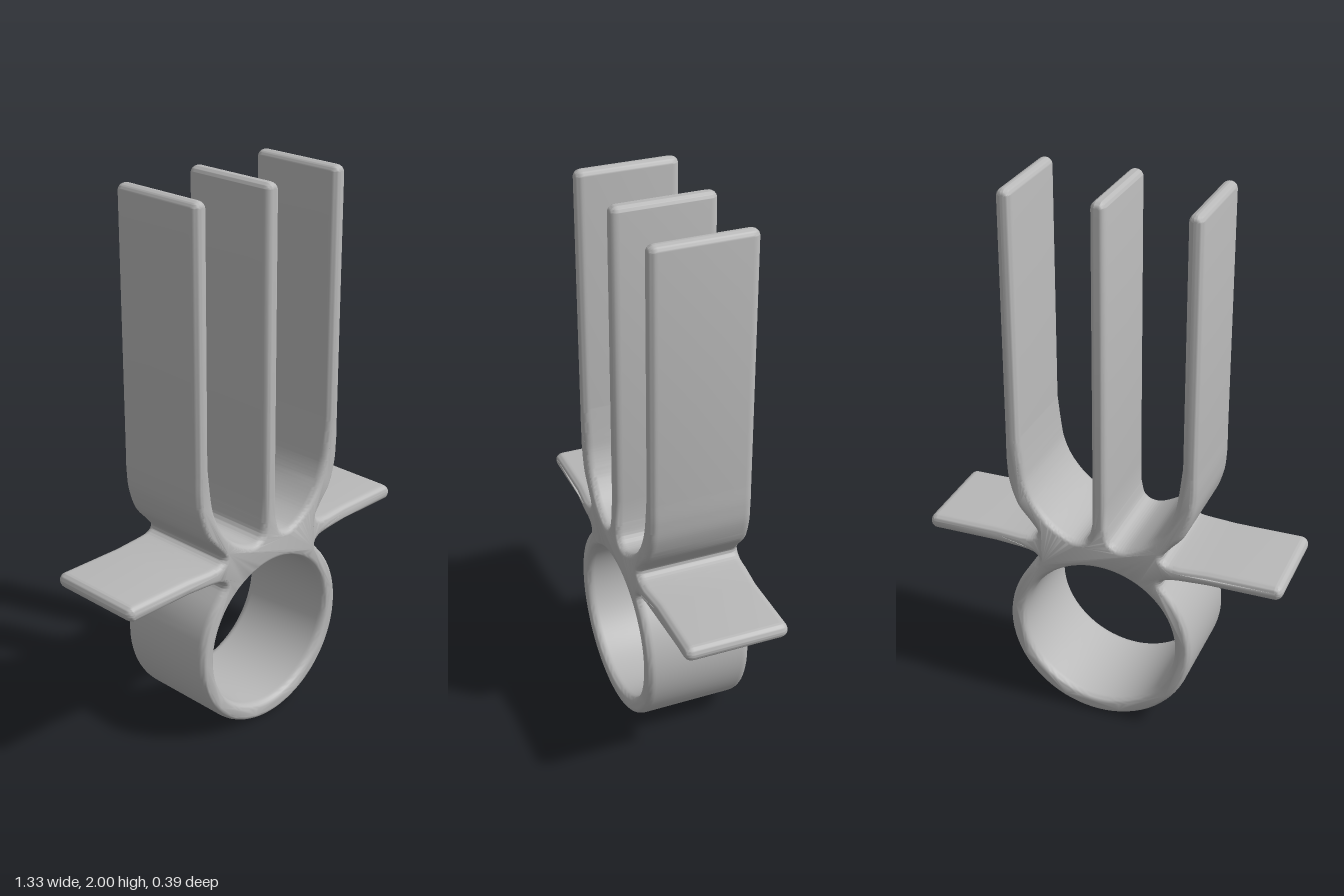
import * as THREE from 'three';
import { toCreasedNormals } from 'three/addons/utils/BufferGeometryUtils.js';

const HALF_DEPTH = 0.195; // half depth at the ring
const BEVEL = 0.02, BEVEL_DEPTH = 0.03;
const points = (list) => list.map(([x, y]) => new THREE.Vector2(x, y));

// Right half of the outline, from the bottom of the ring to the middle prong tip
function halfOutline() {
  const p = new THREE.Path();
  // ring outside
  p.moveTo(0, 0.005);
  p.absarc(0, 0.355, 0.35, -Math.PI / 2, 0.75);
  // fillet into the wing, wing tip and back
  p.splineThru(points([[0.234, 0.625], [0.252, 0.647], [0.3, 0.656]]));
  p.lineTo(0.4, 0.656);
  p.absarc(0.639, 0.684, 0.028, -Math.PI / 2, Math.PI / 2);
  p.lineTo(0.4, 0.712);
  p.lineTo(0.3, 0.712);
  // fillet and outer side of the cup
  p.splineThru(points([[0.255, 0.718], [0.236, 0.738], [0.262, 0.775], [0.312, 0.835],
    [0.343, 0.92], [0.352, 1.0], [0.352, 1.08]]));
  // side prong
  p.absarc(0.325, 1.973, 0.027, 0, Math.PI);
  p.lineTo(0.298, 1.1);
  // inner side of the cup
  p.splineThru(points([[0.285, 0.99], [0.272, 0.92], [0.24, 0.85], [0.185, 0.785], [0.12, 0.745],
    [0.075, 0.737], [0.042, 0.757], [0.029, 0.81]]));
  // middle prong
  p.lineTo(0.028, 0.9);
  p.absarc(0, 1.972, 0.028, 0, Math.PI / 2);
  // drop coincident points where segments join
  return p.getPoints(14).filter((v, i, a) => i === 0 || v.distanceTo(a[i - 1]) > 0.001);
}

function bodyGeometry() {
  const half = halfOutline();
  const mirrored = half.slice(1, -1).reverse().map((v) => new THREE.Vector2(-v.x, v.y));
  const shape = new THREE.Shape([...half, ...mirrored]);
  const hole = new THREE.Path();
  hole.absellipse(0, 0.355, 0.288, 0.285, 0, Math.PI * 2, true);
  shape.holes.push(new THREE.Path(hole.getPoints(48).slice(0, -1)));

  const depth = 2 * (HALF_DEPTH - BEVEL_DEPTH);
  const geometry = new THREE.ExtrudeGeometry(shape, {
    depth, bevelSize: BEVEL, bevelOffset: -BEVEL, bevelThickness: BEVEL_DEPTH, bevelSegments: 5,
  });
  geometry.translate(0, 0, -depth / 2);

  // The blades and wings are slightly narrower than the hub
  const pos = geometry.attributes.position;
  for (let i = 0; i < pos.count; i++) {
    const reach = Math.max((Math.abs(pos.getX(i)) - 0.35) / 0.05, (pos.getY(i) - 0.72) / 0.25);
    pos.setZ(i, pos.getZ(i) * (1 - 0.05 * THREE.MathUtils.clamp(reach, 0, 1)));
  }
  return toCreasedNormals(geometry, 0.7);
}

export function createModel() {
  const grey = new THREE.MeshStandardMaterial({ color: 0xb8b8b8 });
  grey.name = 'light grey';
  const body = new THREE.Mesh(bodyGeometry(), grey);
  body.name = 'ringWithProngsAndWings';
  const group = new THREE.Group();
  group.name = 'prongedRing';
  group.add(body);
  return group;
}
